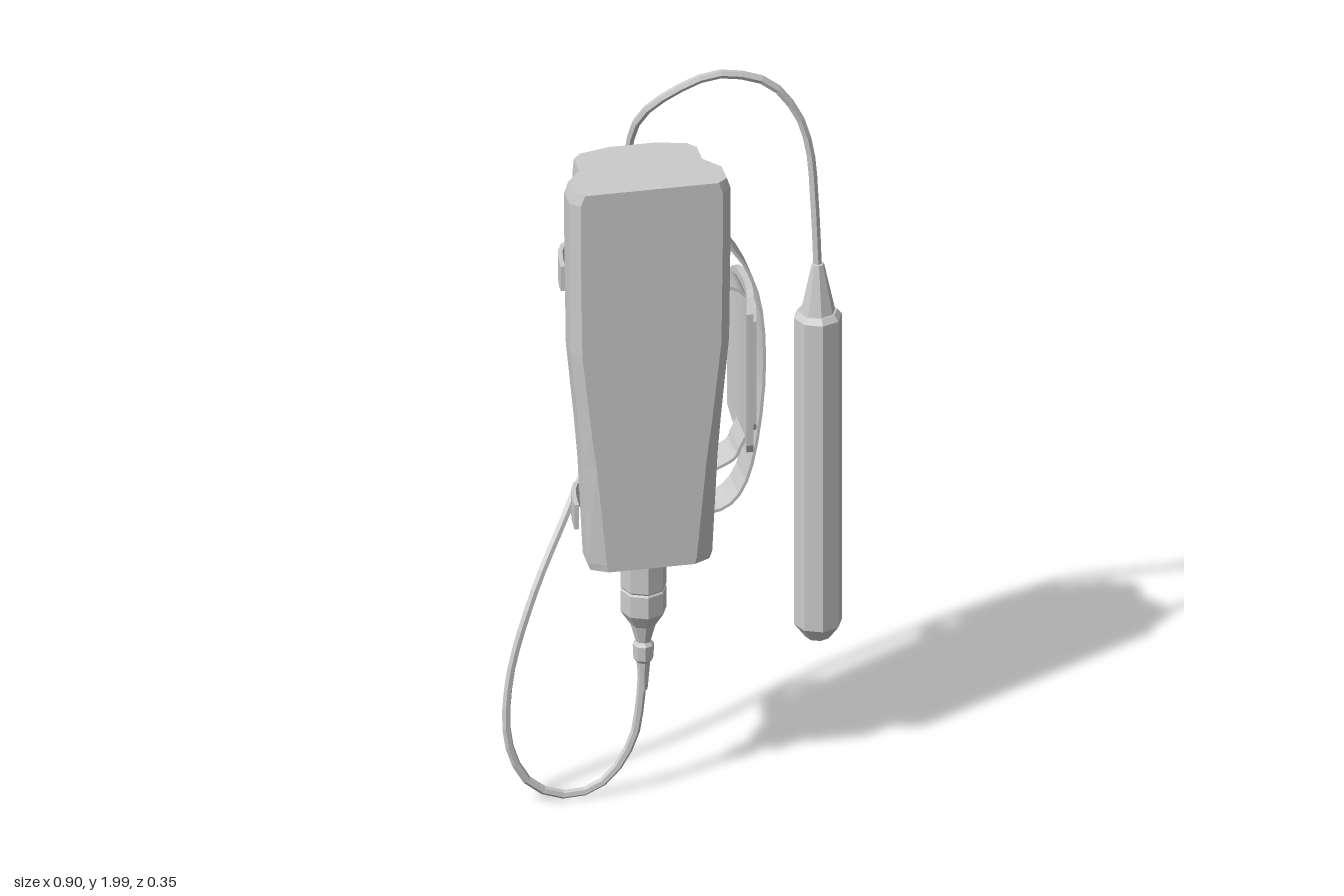
import * as THREE from 'three';

const grey = new THREE.MeshStandardMaterial({ color: 0xcccccc, flatShading: true, side: THREE.DoubleSide });
const CX = -0.09; // centre line of the handset

function part(name, geometry, parent) {
  const mesh = new THREE.Mesh(geometry, grey);
  mesh.name = name;
  parent.add(mesh);
  return mesh;
}

// Joins closed cross-sections (arrays of Vector3) and caps both ends with a fan.
function loft(sections, hubZ) {
  const n = sections[0].length, pos = [], idx = [];
  sections.forEach(s => s.forEach(p => pos.push(p.x, p.y, p.z)));
  for (let j = 0; j < sections.length - 1; j++) {
    for (let i = 0; i < n; i++) {
      const a = j * n + i, b = j * n + (i + 1) % n;
      idx.push(a, b, b + n, a, b + n, a + n);
    }
  }
  [0, sections.length - 1].forEach((j, top) => {
    const hub = pos.length / 3;
    pos.push(CX, sections[j][0].y, hubZ);
    for (let i = 0; i < n; i++) {
      const a = j * n + i, b = j * n + (i + 1) % n;
      idx.push(hub, top ? a : b, top ? b : a);
    }
  });
  const g = new THREE.BufferGeometry();
  g.setAttribute('position', new THREE.Float32BufferAttribute(pos, 3));
  g.setIndex(idx);
  g.computeVertexNormals();
  return g;
}

// Flat strap: a 2D path given thickness and extruded by its width.
function strap(points, thickness, width, divisions = 16) {
  const curve = new THREE.SplineCurve(points.map(p => new THREE.Vector2(...p)));
  const outer = [], inner = [];
  for (let i = 0; i <= divisions; i++) {
    const p = curve.getPoint(i / divisions), t = curve.getTangent(i / divisions);
    const off = new THREE.Vector2(-t.y, t.x).multiplyScalar(thickness / 2);
    outer.push(p.clone().add(off));
    inner.unshift(p.clone().sub(off));
  }
  return new THREE.ExtrudeGeometry(new THREE.Shape([...outer, ...inner]), { depth: width, bevelEnabled: false });
}

function turned(profile) {
  return new THREE.LatheGeometry(profile.map(p => new THREE.Vector2(...p)), 8);
}

// Handset: wide front shell with a narrower hump behind
function handset(parent) {
  // y, half width, front inset, hump half width, hump back z
  const levels = [
    [0.70, 0.155, 0.043, 0.125, -0.045],
    [0.72, 0.162, 0.045, 0.128, -0.047],
    [1.00, 0.176, 0.033, 0.140, -0.052],
    [1.10, 0.184, 0.028, 0.146, -0.054],
    [1.33, 0.206, 0.025, 0.158, -0.058],
    [1.65, 0.210, 0.025, 0.163, -0.062],
    [1.651, 0.210, 0.025, 0.163, -0.078],
    [1.76, 0.210, 0.025, 0.163, -0.078],
    [1.79, 0.200, 0.026, 0.160, -0.076],
  ];
  const sections = levels.map(([y, hw, inset, bw, zb]) => {
    const half = [[hw - inset, 0.174], [hw, 0.15], [hw, 0.088], [bw, 0.035],
      [bw, -0.03], [bw - 0.02, zb + 0.02], [0.06, zb]];
    const mirrored = half.map(([x, z]) => [-x, z]).reverse();
    return [...half, ...mirrored].map(([x, z]) => new THREE.Vector3(CX + x, y, z));
  });
  part('handsetBody', loft(sections, 0.06), parent);
  part('backPanel', new THREE.BoxGeometry(0.17, 0.07, 0.012), parent).position.set(CX, 1.61, -0.06);
}

// Carrying strap: two bands round the back, side loop and hand pad
function handStrap(parent) {
  const bandPath = [[-0.21, 0.075], [-0.205, 0.02], [-0.185, -0.045], [-0.12, -0.082],
    [0, -0.093], [0.12, -0.082], [0.185, -0.055], [0.2, 0], [0.205, 0.07]];
  [['upperBand', 1.54, 1], ['lowerBand', 0.85, 0.83]].forEach(([name, top, s]) => {
    const g = strap(bandPath.map(([x, z]) => [x * s, z > 0 ? z : z * (s + 1) / 2]), 0.012, 0.07);
    g.rotateX(Math.PI / 2);
    part(name, g, parent).position.set(CX, top, 0);
  });

  const loops = {
    outerLoop: [[0.06, 1.55], [0.12, 1.545], [0.175, 1.48], [0.213, 1.39], [0.23, 1.27], [0.23, 1.12],
      [0.212, 0.96], [0.185, 0.85], [0.145, 0.79], [0.09, 0.77], [0.04, 0.785]],
    upperInnerStrap: [[0.08, 1.44], [0.12, 1.42], [0.165, 1.4], [0.185, 1.38]],
    lowerInnerStrap: [[0.05, 0.875], [0.11, 0.895], [0.155, 0.92], [0.17, 0.95], [0.185, 0.98]],
  };
  for (const [name, path] of Object.entries(loops)) {
    part(name, strap(path, 0.008, 0.105, 20), parent).position.z = -0.067;
  }

  // Curved plates with clipped corners
  [['handPad', 0.018, 0.46, 0.24, 0.194], ['handPadInset', 0.012, 0.36, 0.17, 0.205]].forEach(([name, t, h, w, x]) => {
    const g = new THREE.BoxGeometry(t, h, w, 1, 1, 8);
    const p = g.attributes.position;
    for (let i = 0; i < p.count; i++) {
      const z = p.getZ(i), edge = Math.max(0, Math.abs(z) / (w / 2) - 0.7) / 0.3;
      p.setY(i, p.getY(i) * (1 - 0.18 * edge));
      p.setX(i, p.getX(i) - 1.1 * z * z);
    }
    g.computeVertexNormals();
    part(name, g, parent).position.set(x, 1.18, -0.008);
  });
}

// Probe: octagonal wand with windows on every second facet
function probe(parent) {
  const g = new THREE.Group();
  g.name = 'probe';
  g.position.set(0.385, 0, -0.03);
  parent.add(g);
  part('probeBody', turned([[0, 0.35], [0.033, 0.35], [0.0625, 0.39], [0.0625, 1.27], [0.05, 1.285], [0, 1.285]]), g);
  part('probeStrainRelief', turned([[0.045, 1.285], [0.016, 1.42], [0, 1.425]]), g);
  const slot = new THREE.Shape();
  slot.absarc(0, 0.045, 0.019, 0, Math.PI);
  slot.absarc(0, -0.045, 0.019, Math.PI, 2 * Math.PI);
  for (let i = 0; i < 4; i++) {
    const side = new THREE.Group();
    side.name = 'probeWindows';
    side.rotation.y = Math.PI / 8 + i * Math.PI / 2;
    g.add(side);
    part('roundWindow', new THREE.CircleGeometry(0.021, 12), side).position.set(0, 0.82, 0.0583);
    part('slotWindow', new THREE.ShapeGeometry(slot, 6), side).position.set(0, 0.565, 0.0583);
  }
}

// Plug under the handset, tapering to the cable
function plug(parent) {
  part('plug', turned([[0, 0.705], [0.06, 0.705], [0.06, 0.6], [0.056, 0.595], [0.06, 0.59], [0.06, 0.53],
    [0.034, 0.49], [0.02, 0.44], [0.028, 0.43], [0.026, 0.39], [0.018, 0.38], [0.011, 0.3]]), parent)
    .position.set(CX, 0, 0.07);
}

// Cable from probe, over the top, down the back and round to the plug
function cable(parent) {
  const path = [[0.385, 1.40, -0.03], [0.377, 1.6, -0.033], [0.365, 1.75, -0.036], [0.335, 1.85, -0.038],
    [0.265, 1.945, -0.04], [0.185, 1.98, -0.04], [0.11, 1.988, -0.038], [0.02, 1.955, -0.04],
    [-0.06, 1.88, -0.072], [-0.087, 1.79, -0.105], [-0.088, 1.45, -0.152], [-0.095, 1.05, -0.163],
    [-0.125, 0.98, -0.145], [-0.22, 0.84, -0.085], [-0.27, 0.76, -0.04], [-0.37, 0.58, 0.035],
    [-0.438, 0.35, 0.06], [-0.438, 0.17, 0.065], [-0.38, 0.055, 0.065], [-0.28, 0.014, 0.065],
    [-0.19, 0.045, 0.066], [-0.12, 0.15, 0.068], [-0.1, 0.25, 0.07], [CX, 0.4, 0.07]];
  const curve = new THREE.CatmullRomCurve3(path.map(p => new THREE.Vector3(...p)));
  part('cable', new THREE.TubeGeometry(curve, 64, 0.0115, 6), parent);
}

export function createModel() {
  const model = new THREE.Group();
  model.name = 'handheldMeter';
  [handset, handStrap, probe, plug, cable].forEach(build => build(model));
  return model;
}
